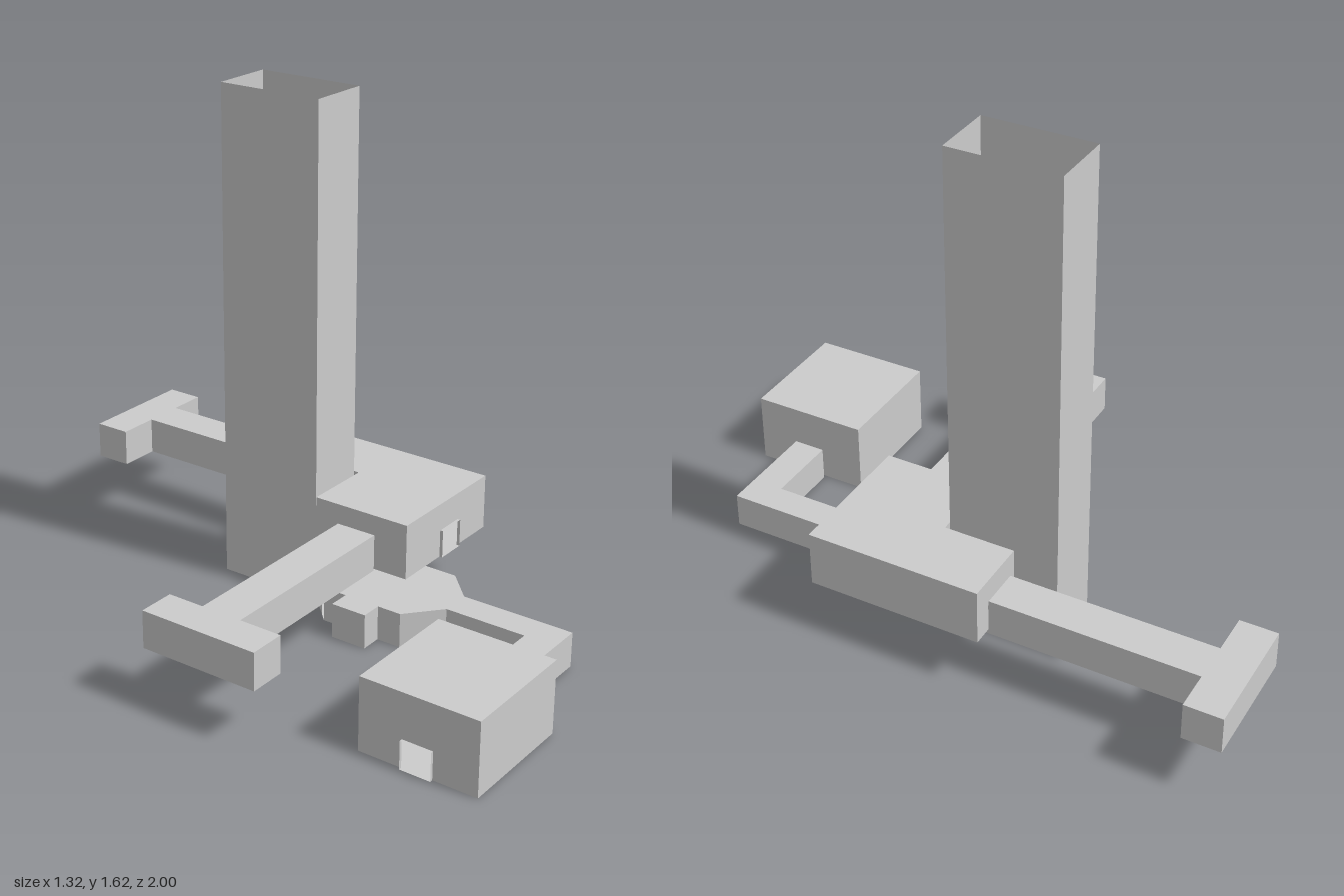
import * as THREE from 'three';
import { mergeGeometries } from 'three/addons/utils/BufferGeometryUtils.js';

const material = new THREE.MeshStandardMaterial({ color: 0xcccccc, flatShading: true, side: THREE.DoubleSide });

// Rectangular plan, corners counter-clockwise from above: edges are front, right, back, left
const rect = (x0, x1, z0, z1) => [[x0, z1], [x1, z1], [x1, z0], [x0, z0]];

// One wall between two plan corners, with an optional doorway [centre, width, height]
function wall([ax, az], [bx, bz], y, height, door) {
  const length = Math.hypot(bx - ax, bz - az);
  const dir = new THREE.Vector3(bx - ax, 0, bz - az).divideScalar(length);
  const up = new THREE.Vector3(0, 1, 0);
  const points = [[0, 0]];
  if (door) {
    const [centre, width, h] = door;
    const s = Math.abs(centre - (Math.abs(dir.x) > 0.5 ? ax : az));
    points.push([s - width / 2, 0], [s - width / 2, h], [s + width / 2, h], [s + width / 2, 0]);
  }
  points.push([length, 0], [length, height], [0, height]);
  const geometry = new THREE.ShapeGeometry(new THREE.Shape(points.map(p => new THREE.Vector2(...p))));
  const frame = new THREE.Matrix4().makeBasis(dir, up, dir.clone().cross(up)).setPosition(ax, y, az);
  return geometry.applyMatrix4(frame);
}

// Hollow room from a plan outline; openings maps an edge to a doorway or to 'open'
function room(name, outline, y, height, openings = {}, roof = true) {
  const plan = sign => new THREE.ShapeGeometry(
    new THREE.Shape(outline.map(([x, z]) => new THREE.Vector2(x, sign * z))));
  const parts = [plan(1).rotateX(Math.PI / 2).translate(0, y, 0)];
  if (roof) parts.push(plan(-1).rotateX(-Math.PI / 2).translate(0, y + height, 0));
  outline.forEach((corner, i) => {
    if (openings[i] === 'open') return;
    parts.push(wall(corner, outline[(i + 1) % outline.length], y, height, openings[i]));
  });
  const mesh = new THREE.Mesh(mergeGeometries(parts), material);
  mesh.name = name;
  return mesh;
}

export function createModel() {
  const model = new THREE.Group();
  model.name = 'roomComplex';
  const upper = 0.185, low = 0.12, doorHeight = 0.09;
  const alongX = { 1: 'open', 3: 'open' }, alongZ = { 0: 'open', 2: 'open' };

  // Tall shaft, open at the top
  model.add(room('shaft', rect(0.14, 0.345, -0.345, 0.012), 0, 1.615,
    { 0: [0.245, 0.08, doorHeight] }, false));
  const panel = new THREE.Mesh(new THREE.PlaneGeometry(0.11, 0.08), material);
  panel.position.set(0.28, 0.04, -0.25);
  panel.name = 'shaftPanel';
  model.add(panel);

  // Upper L-shaped room
  model.add(room('upperRoom', [
    [0.13, 0.355], [0.58, 0.355], [0.58, -0.21], [0.36, -0.21], [0.36, 0.02], [0.13, 0.02],
  ], upper, 0.18, {
    0: [0.37, 0.1, doorHeight], 2: [0.465, 0.1, doorHeight], 5: [0.178, 0.1, doorHeight],
  }));

  // T-shaped passages at the upper level
  model.add(room('sidePassage', [
    [-0.66, 0.385], [-0.54, 0.385], [-0.54, 0.245], [0.12, 0.245],
    [0.12, 0.11], [-0.54, 0.11], [-0.54, -0.01], [-0.66, -0.01],
  ], upper, low, { 3: [0.178, 0.1, doorHeight] }));
  model.add(room('backPassage', [
    [0.4, -0.22], [0.53, -0.22], [0.53, -0.88], [0.655, -0.88],
    [0.655, -1], [0.265, -1], [0.265, -0.88], [0.4, -0.88],
  ], upper, low, { 0: [0.465, 0.1, doorHeight] }));

  // Lower octagonal hall with its alcove and bent corridor
  model.add(room('lowerHall', [
    [-0.085, 0.86], [0.26, 0.86], [0.26, 0.485], [0.36, 0.39], [0.36, 0.11], [0.27, 0.02],
    [0.14, 0.02], [0.05, 0.11], [0.05, 0.19], [-0.02, 0.19], [-0.02, 0.31], [0.05, 0.31],
    [0.05, 0.39], [0.16, 0.485], [0.16, 0.755], [-0.085, 0.755],
  ], 0, 0.113, { 6: [0.245, 0.04, doorHeight], 15: [0.807, 0.09, doorHeight] }));

  // Entrance room at the front
  model.add(room('entranceRoom', rect(-0.492, -0.095, 0.615, 1), 0, 0.235,
    { 1: [0.807, 0.09, doorHeight], 3: [0.807, 0.1, doorHeight] }));

  // Short door frames linking the rooms
  const frames = [
    ['entranceDoor', rect(-0.502, -0.492, 0.757, 0.857), 0, alongX],
    ['corridorDoor', rect(-0.095, -0.085, 0.762, 0.852), 0, alongX],
    ['lowerShaftDoor', rect(0.225, 0.265, 0.012, 0.02), 0, alongZ],
    ['upperFrontDoor', rect(0.32, 0.42, 0.355, 0.365), upper, alongZ],
    ['backPassageDoor', rect(0.415, 0.515, -0.22, -0.21), upper, alongZ],
    ['sidePassageDoor', rect(0.12, 0.13, 0.128, 0.228), upper, alongX],
  ];
  for (const [name, outline, y, open] of frames) model.add(room(name, outline, y, doorHeight, open));
  return model;
}
